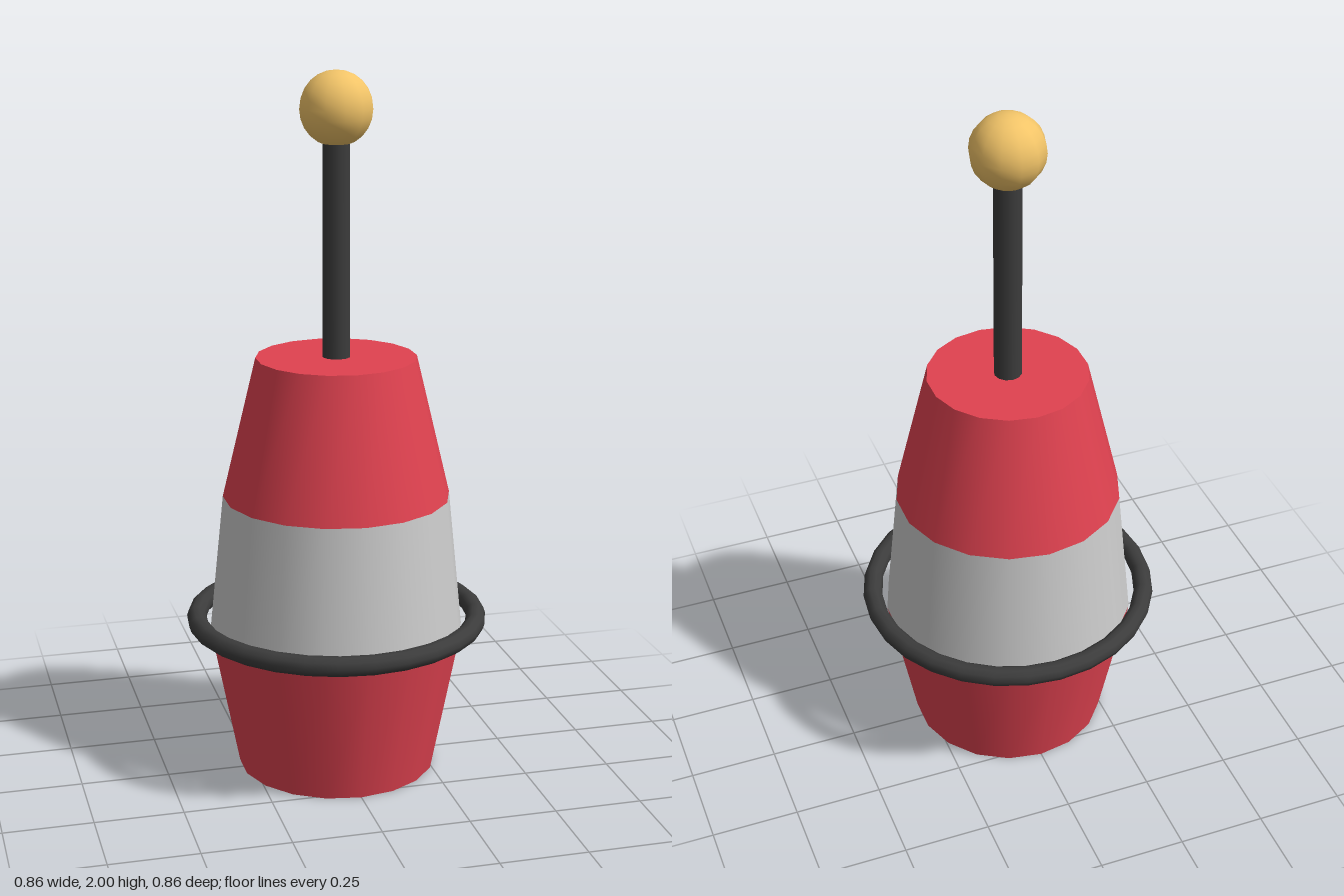
import * as THREE from 'three';

const paint = (color) => new THREE.MeshStandardMaterial({ color });

export function createModel() {
  const group = new THREE.Group();
  const red = paint(0xe04250);
  const grey = paint(0xcccccc);
  const dark = paint(0x3c3c3c);
  const gold = paint(0xf2c468);

  const add = (name, geometry, material, y) => {
    const mesh = new THREE.Mesh(geometry, material);
    mesh.name = name;
    mesh.position.y = y;
    group.add(mesh);
    return mesh;
  };

  // Upright tapered section between two heights
  const section = (name, y0, r0, y1, r1, sides, material, open = false) =>
    add(name, new THREE.CylinderGeometry(r1, r0, y1 - y0, sides, 1, open), material, (y0 + y1) / 2);

  // Float body: three stacked tapered bands
  section('lowerBody', 0, 0.283, 0.41, 0.363, 18, red);
  section('middleBand', 0.41, 0.363, 0.81, 0.322, 18, grey, true);
  section('upperBody', 0.81, 0.322, 1.21, 0.226, 18, red);

  // Mast and ball
  section('mast', 1.2, 0.039, 1.86, 0.039, 12, dark);
  add('ball', new THREE.SphereGeometry(0.103, 12, 12), gold, 1.897);

  // Loose ring around the waist
  const ring = add('ring', new THREE.TorusGeometry(0.402, 0.028, 10, 28), dark, 0.447);
  ring.rotation.x = Math.PI / 2;

  return group;
}
